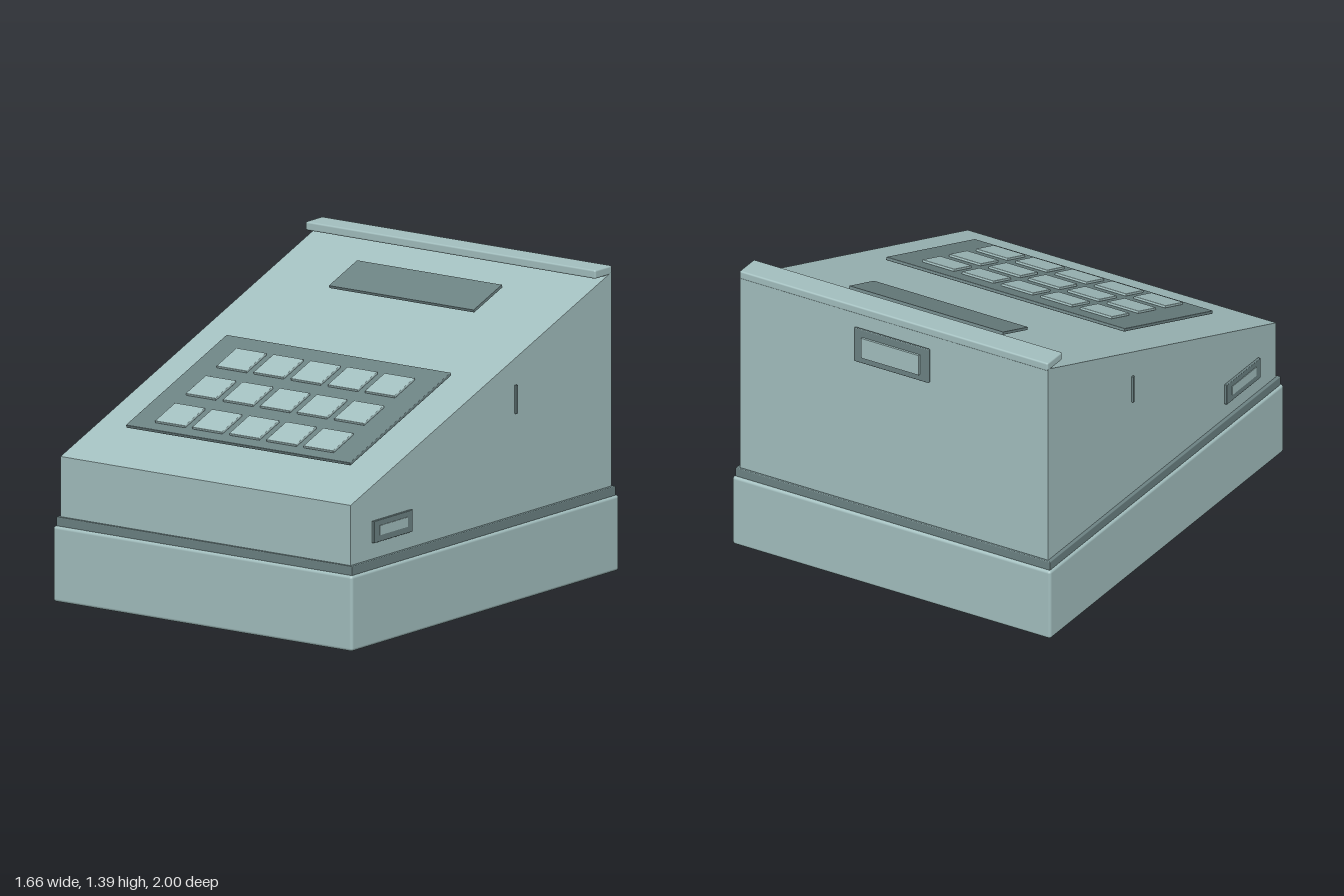
import * as THREE from 'three';
import { RoundedBoxGeometry } from 'three/addons/geometries/RoundedBoxGeometry.js';

export function createModel() {
  const model = new THREE.Group();
  model.name = 'cashRegister';

  const casing = new THREE.MeshStandardMaterial({ color: 0xa3bfbf });
  casing.name = 'pale teal casing';
  const trim = new THREE.MeshStandardMaterial({ color: 0x6c8283 });
  trim.name = 'dark teal trim';

  // Box centred at (x, y, z); a radius rounds its edges
  function box(name, size, pos, material, parent = model, radius = 0) {
    const geometry = radius
      ? new RoundedBoxGeometry(...size, 2, radius)
      : new THREE.BoxGeometry(...size);
    const mesh = new THREE.Mesh(geometry, material);
    mesh.name = name;
    mesh.position.set(...pos);
    parent.add(mesh);
    return mesh;
  }

  const midZ = 0.005;

  // Drawer base and the recessed seam above it
  box('drawerBase', [1.656, 0.345, 1.99], [0, 0.1725, midZ], casing, model, 0.014);
  box('seamStrip', [1.636, 0.044, 1.965], [0, 0.364, midZ], trim, model, 0.004);

  // Wedge-shaped body: side profile extruded across the width
  const front = 0.975, back = -0.965, low = 0.66, high = 1.36;
  const profile = new THREE.Shape([
    new THREE.Vector2(-front, 0.38),
    new THREE.Vector2(-back, 0.38),
    new THREE.Vector2(-back, high),
    new THREE.Vector2(-front, low),
  ]);
  const wedge = new THREE.ExtrudeGeometry(profile, { depth: 1.604, bevelEnabled: false });
  wedge.translate(0, 0, -0.802);
  wedge.rotateY(Math.PI / 2); // profile x becomes -z
  const body = new THREE.Mesh(wedge, casing);
  body.name = 'slopedBody';
  model.add(body);

  // Ridge along the top back edge
  box('topRidge', [1.604, 0.04, 0.125], [0, 1.37, -0.9075], casing, model, 0.008);

  // Panels lying parallel to the slope: local y is the slope normal
  const tilt = Math.atan2(high - low, front - back);
  function slopeGroup(name, y, z) {
    const group = new THREE.Group();
    group.name = name;
    group.position.set(0, y, z);
    group.rotation.x = tilt;
    model.add(group);
    return group;
  }

  const keypad = slopeGroup('keypad', 0.9125, 0.3575);
  box('keypadPlate', [1.24, 0.015, 0.798], [0, 0, 0], trim, keypad, 0.003);
  for (let row = 0; row < 3; row++) {
    for (let col = 0; col < 5; col++) {
      box('key', [0.166, 0.012, 0.16],
        [(col - 2) * 0.205, 0.0125, 0.024 + (row - 1) * 0.2425], casing, keypad, 0.003);
    }
  }

  const display = slopeGroup('display', 1.254, -0.5875);
  box('displayPanel', [0.8, 0.013, 0.223], [0, 0, 0], trim, display);

  // Framed handles and narrow slots on both sides
  for (const side of [-1, 1]) {
    box('sideHandleFrame', [0.014, 0.1, 0.288], [side * 0.81, 0.51, 0.675], trim, model, 0.003);
    box('sideHandleInset', [0.009, 0.044, 0.206], [side * 0.8155, 0.512, 0.677], casing);
    box('sideSlot', [0.016, 0.13, 0.012], [side * 0.803, 0.915, -0.25], trim);
  }

  // Framed plate on the back
  box('backPlateFrame', [0.39, 0.17, 0.014], [0, 1.205, -0.983], trim, model, 0.004);
  box('backPlateInset', [0.3, 0.1, 0.012], [0, 1.203, -0.994], casing);

  return model;
}
